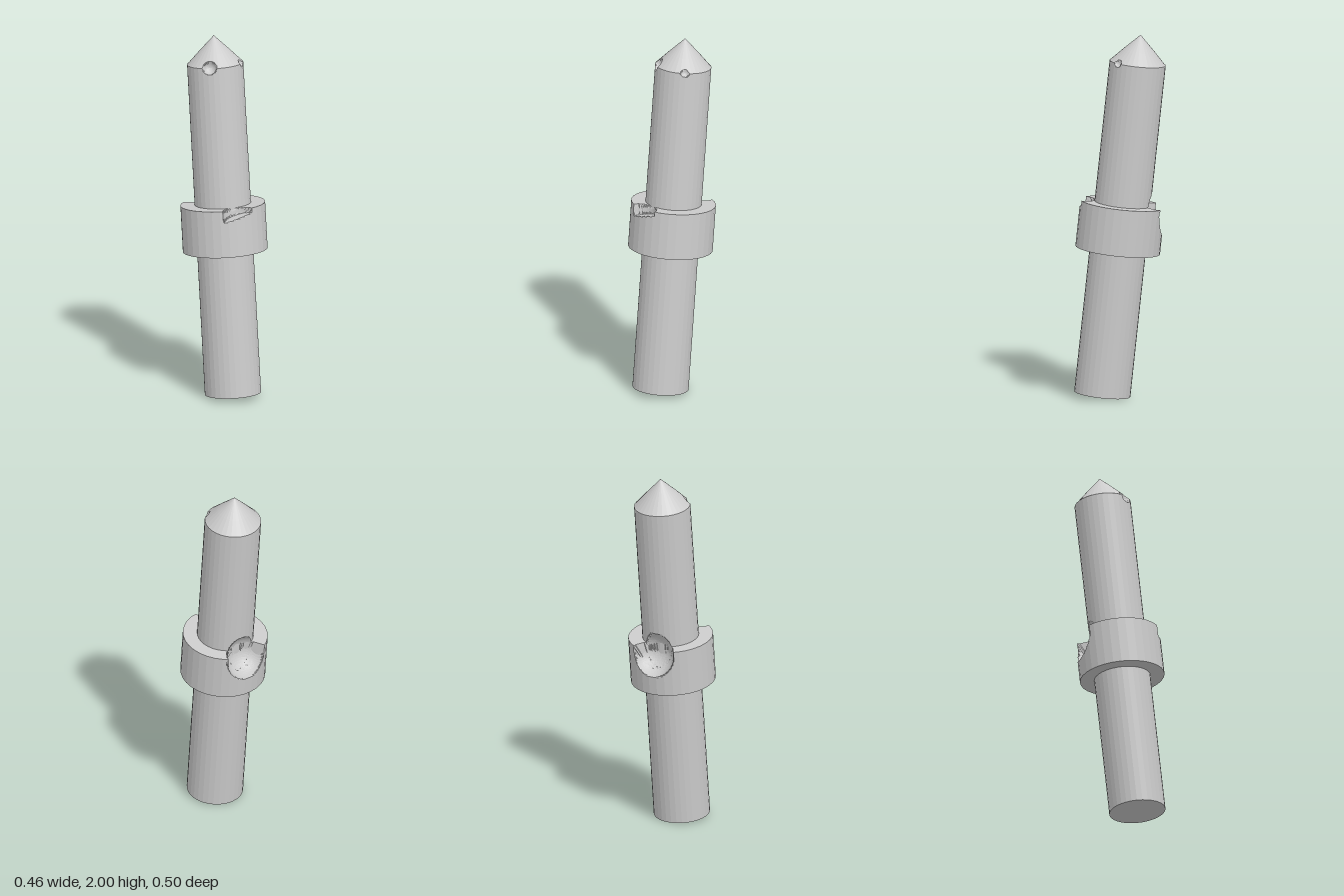
import * as THREE from 'three';

const SIDES = 32, STEPS_PER_SIDE = 6;
const ROD_R = 0.154, COLLAR_R = 0.232, COLLAR_LOW = 0.8, COLLAR_TOP = 1.058;

const sphereCut = (x, y, z, r) => p =>
  (p.x - x) ** 2 + (p.y - y) ** 2 + (p.z - z) ** 2 < r * r;

// Round dent at the back, shared by collar and rod
const backDent = sphereCut(-0.02, 1.03, -0.228, 0.125);

// Flat, sloping notch in the collar's front top edge
const frontNotch = p =>
  (p.x + 0.035) ** 2 + (p.z - 0.235) ** 2 < 0.083 ** 2 && p.y > 0.992 + 0.25 * (p.x + 0.115);

// Chips on the rim below the point
const rimChips = [sphereCut(-0.1, 1.845, 0.11, 0.038), sphereCut(0.108, 1.845, 0.115, 0.025)];

// Splits a profile [radius, height, steps to reach this point] into fine rows
function subdivide(corners) {
  const points = [new THREE.Vector2(corners[0][0], corners[0][1])];
  for (let i = 1; i < corners.length; i++) {
    const [r0, y0] = corners[i - 1], [r1, y1, n] = corners[i];
    for (let k = 1; k <= n; k++) {
      points.push(new THREE.Vector2(r0 + (r1 - r0) * k / n, y0 + (y1 - y0) * k / n));
    }
  }
  return points;
}

// Faceted lathe whose vertices retreat towards a core point until clear of the cuts
function carvedLathe(name, corners, cuts, coreOf) {
  const geometry = new THREE.LatheGeometry(subdivide(corners), SIDES * STEPS_PER_SIDE);
  const pos = geometry.attributes.position;
  const p = new THREE.Vector3(), q = new THREE.Vector3();
  const wedge = 2 * Math.PI / SIDES;
  const hit = v => cuts.some(cut => cut(v));
  for (let i = 0; i < pos.count; i++) {
    p.fromBufferAttribute(pos, i);
    const angle = Math.atan2(p.x, p.z) + 2 * Math.PI;
    const facet = Math.cos(wedge / 2) / Math.cos((angle % wedge) - wedge / 2);
    p.x *= facet;
    p.z *= facet;
    const core = coreOf(p);
    if (hit(p)) {
      let t = 0;
      while (t < 1 && !hit(q.lerpVectors(core, p, t + 0.004))) t += 0.004;
      p.lerpVectors(core, p.clone(), t);
    }
    pos.setXYZ(i, p.x, p.y, p.z);
  }
  geometry.computeVertexNormals();
  const mesh = new THREE.Mesh(geometry,
    new THREE.MeshStandardMaterial({ color: 0xcccccc, flatShading: true }));
  mesh.name = name;
  return mesh;
}

export function createModel() {
  const model = new THREE.Group();
  model.name = 'pointedRod';

  // Leaning assembly
  const post = new THREE.Group();
  post.name = 'leaningPost';
  post.position.set(0, 0.016, 0.1);
  post.rotation.x = -0.105;
  model.add(post);

  // Rod with conical point
  post.add(carvedLathe('rod', [
    [0, 0], [ROD_R, 0, 1], [ROD_R, 0.85, 1], [ROD_R, 1.2, 30], [ROD_R, 1.78, 1],
    [ROD_R, 1.84, 12], [ROD_R - 0.005, 1.843, 1], [0.09, 1.905, 12], [0, 1.995, 1],
  ], [backDent, ...rimChips], p => new THREE.Vector3(0, Math.min(p.y, 1.76), 0)));

  // Collar around the middle
  post.add(carvedLathe('collar', [
    [0.1, COLLAR_LOW], [COLLAR_R, COLLAR_LOW, 2], [COLLAR_R, COLLAR_TOP, 32], [0.1, COLLAR_TOP, 20],
  ], [backDent, frontNotch], p => {
    const s = 0.1 / Math.hypot(p.x, p.z);
    return new THREE.Vector3(p.x * s, COLLAR_LOW + 0.02, p.z * s);
  }));

  return model;
}
